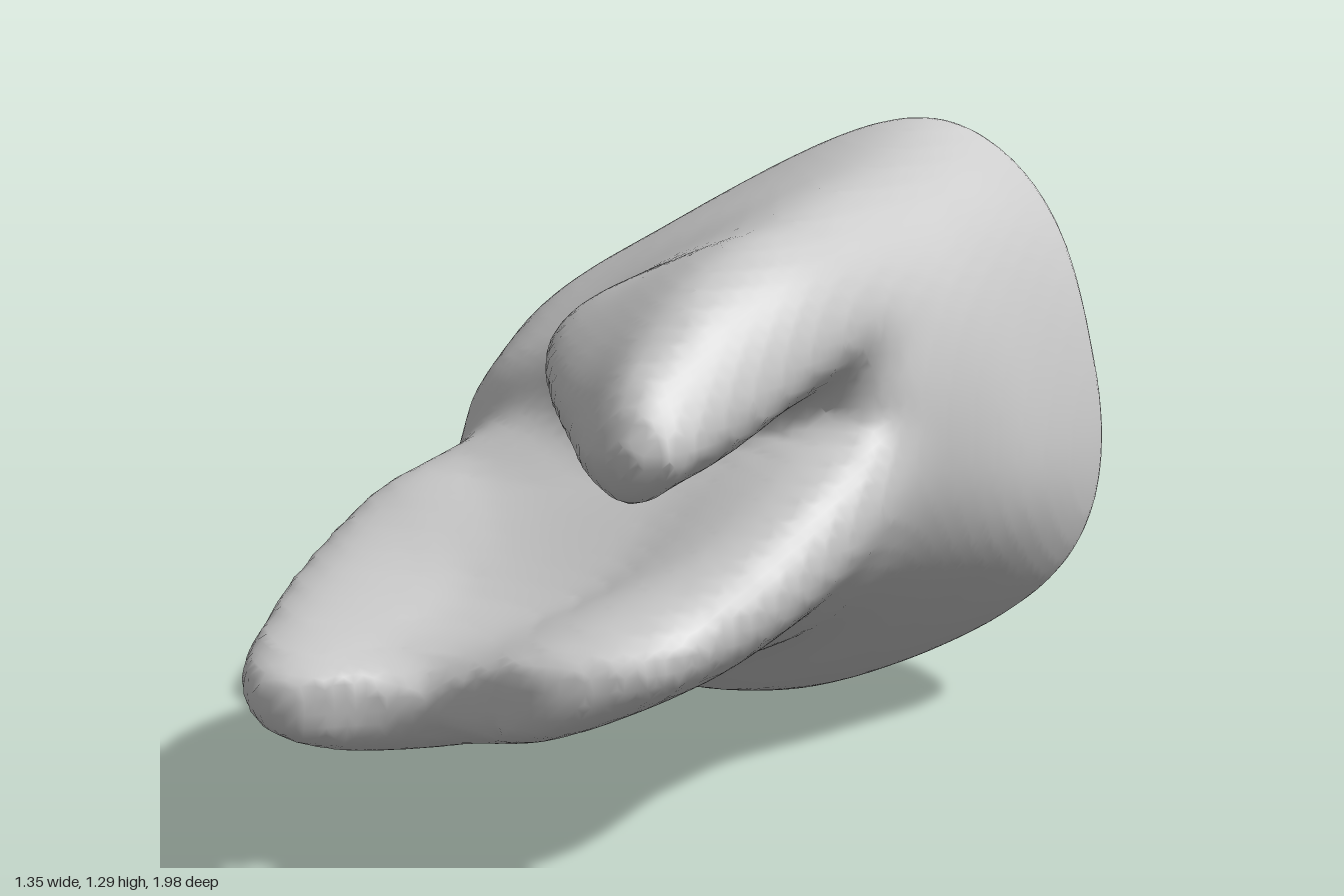
import * as THREE from 'three';

const N = 72; // angular samples per cross-section

// Smooth closed outline through [x, y, x, y, ...], stored as radii by angle around a centre
function section(z, cx, cy, xy) {
  const pts = [];
  for (let i = 0; i < xy.length; i += 2) pts.push(new THREE.Vector3(xy[i] - cx, xy[i + 1] - cy, 0));
  const loop = new THREE.CatmullRomCurve3(pts, true).getPoints(60);
  const R = Array.from({ length: N }, (_, k) => {
    const dx = Math.cos(k / N * 2 * Math.PI), dy = Math.sin(k / N * 2 * Math.PI);
    let best = 0.01;
    for (let i = 0; i < 60; i++) {
      const a = loop[i], ex = loop[i + 1].x - a.x, ey = loop[i + 1].y - a.y;
      const det = dx * ey - dy * ex;
      if (Math.abs(det) < 1e-9) continue;
      const t = (a.x * ey - a.y * ex) / det, u = (a.x * dy - a.y * dx) / det;
      if (u >= -1e-6 && u <= 1 + 1e-6 && t > best) best = t;
    }
    return best;
  });
  return { z, v: [cx, cy, ...R.map((r, k) => (R[(k + N - 1) % N] + 2 * r + R[(k + 1) % N]) / 4)] };
}

const scaled = (s, z, f) => ({ z, v: s.v.map((r, i) => (i < 2 ? r : r * f)) });

// Smooth interpolation of the sections along z
function slice(list, z) {
  const n = list.length;
  z = THREE.MathUtils.clamp(z, list[0].z, list[n - 1].z);
  let i = 0;
  while (i < n - 2 && z > list[i + 1].z) i++;
  const a = list[i], b = list[i + 1], p = list[Math.max(i - 1, 0)], q = list[Math.min(i + 2, n - 1)];
  const h = b.z - a.z, t = (z - a.z) / h, t2 = t * t, t3 = t2 * t;
  return a.v.map((va, k) => {
    const vb = b.v[k];
    const ma = (vb - p.v[k]) / (b.z - p.z) * h, mb = (q.v[k] - va) / (q.z - a.z) * h;
    return (2 * t3 - 3 * t2 + 1) * va + (t3 - 2 * t2 + t) * ma + (3 * t2 - 2 * t3) * vb + (t3 - t2) * mb;
  });
}

function radial(s, x, y) {
  const dx = x - s[0], dy = y - s[1];
  const a = ((Math.atan2(dy, dx) / (2 * Math.PI) + 1) % 1) * N, k = Math.floor(a) % N, f = a - Math.floor(a);
  return Math.hypot(dx, dy) - (s[2 + k] * (1 - f) + s[2 + (k + 1) % N] * f);
}

function smin(a, b, k) {
  const h = Math.max(k - Math.abs(a - b), 0) / k;
  return Math.min(a, b) - h * h * k / 4;
}
const smax = (a, b, k) => -smin(-a, -b, k);
const bump = (d2, w) => Math.exp(-d2 / (2 * w * w));

// Crown and neck
const crown = section(-0.58, 0.05, 0.62, [0.675, 0.55, 0.6, 1, 0.45, 1.22, 0.26, 1.3, -0.3, 1.04, -0.54, 0.85,
  -0.53, 0.45, -0.33, 0.14, -0.05, 0, 0.3, 0.1, 0.6, 0.32]);
const body = [
  scaled(crown, -1.05, 0.74), scaled(crown, -0.82, 0.92), crown,
  section(-0.25, 0.03, 0.62, [0.61, 0.55, 0.53, 1.04, 0.4, 1.2, 0.25, 1.235, -0.3, 1, -0.55, 0.82,
    -0.56, 0.42, -0.35, 0.14, 0, 0.07, 0.45, 0.32]),
  section(0, 0, 0.62, [0.53, 0.62, 0.48, 1.05, 0.27, 1.2, -0.27, 0.92, -0.55, 0.71, -0.61, 0.45,
    -0.4, 0.15, -0.05, 0.18, 0.35, 0.36]),
  section(0.27, 0.02, 0.62, [0.46, 0.7, 0.42, 1.03, 0.27, 1.16, -0.1, 0.92, -0.35, 0.66, -0.6, 0.57,
    -0.55, 0.25, -0.2, 0.22, 0.3, 0.4]),
];

// Broad, scooped lower root
const lowerStart = section(0.13, -0.1, 0.45, [0.47, 0.64, 0.42, 0.79, 0, 0.75, -0.4, 0.7, -0.61, 0.58,
  -0.65, 0.42, -0.4, 0.15, -0.1, 0.23, 0.32, 0.41]);
const lowerRoot = [
  scaled(lowerStart, -0.1, 0.88), lowerStart,
  section(0.32, -0.1, 0.45, [0.48, 0.62, 0.42, 0.76, 0.05, 0.67, -0.35, 0.61, -0.6, 0.6, -0.68, 0.43,
    -0.4, 0.13, -0.1, 0.23, 0.3, 0.4]),
  section(0.6, -0.1, 0.38, [0.39, 0.52, 0.28, 0.62, 0, 0.51, -0.35, 0.47, -0.6, 0.52, -0.67, 0.38,
    -0.4, 0.18, -0.1, 0.25, 0.25, 0.37]),
  section(0.8, -0.2, 0.35, [0.28, 0.45, 0.15, 0.52, -0.1, 0.45, -0.35, 0.42, -0.56, 0.45, -0.64, 0.36,
    -0.45, 0.23, -0.1, 0.26, 0.15, 0.34]),
  section(1.02, -0.22, 0.34, [0.2, 0.42, 0.08, 0.46, -0.15, 0.4, -0.55, 0.39, -0.6, 0.33, -0.4, 0.26, -0.1, 0.28]),
];
const lowerEnd = x => 0.88 + 0.12 * bump((x + 0.47) ** 2, 0.1) + 0.05 * bump((x - 0.03) ** 2, 0.08);

// Narrow, curved upper root
const upperStart = section(0.25, 0.15, 0.98, [0.44, 0.97, 0.4, 1.11, 0.27, 1.17, 0, 1.08, -0.22, 0.94,
  -0.13, 0.84, 0.25, 0.82]);
const upperRoot = [
  scaled(upperStart, -0.1, 0.95), upperStart,
  section(0.45, 0.15, 0.96, [0.41, 0.95, 0.37, 1.09, 0.25, 1.155, 0, 1.05, -0.17, 0.91, -0.08, 0.83, 0.25, 0.81]),
  section(0.65, 0.16, 0.9, [0.35, 0.88, 0.32, 1.01, 0.22, 1.085, 0.05, 1, -0.06, 0.88, 0.02, 0.8, 0.2, 0.76]),
  section(0.8, 0.18, 0.86, [0.3, 0.85, 0.25, 0.96, 0.18, 0.99, 0.09, 0.92, 0.05, 0.83, 0.17, 0.74]),
  section(0.92, 0.2, 0.83, [0.285, 0.83, 0.2, 0.92, 0.11, 0.83, 0.2, 0.75]),
];

// Cusps and the central pit on the chewing face: x, y, height, width
const cusps = [[0.33, 1.08, 0.18, 0.21], [-0.22, 0.72, 0.3, 0.25], [-0.02, 0.22, 0.25, 0.18],
  [0.53, 0.54, 0.18, 0.17], [0.14, 0.66, -0.14, 0.13]];
const chewingFace = (x, y) => cusps.reduce(
  (z, [cx, cy, h, w]) => z - h * bump((x - cx) ** 2 + (y - cy) ** 2, w), -0.68);

// Blended solid for one z level: negative inside
function solidAt(z) {
  const b = slice(body, z), l = slice(lowerRoot, z), u = slice(upperRoot, z);
  return (x, y) => {
    let neck = smax(radial(b, x, y), chewingFace(x, y) - z, 0.15);
    neck = smax(neck, z - 0.25 - 0.45 * Math.min(x + 0.05, 0), 0.12);
    const low = Math.max(smax(radial(l, x, y), z - lowerEnd(x), 0.12), -0.1 - z);
    const up = Math.max(smax(radial(u, x, y), z - 0.91, 0.1), -0.1 - z);
    return smin(smin(neck, low, 0.08), up, 0.07);
  };
}

// Skins the solid with one smooth vertex per crossed grid cell
function skin() {
  const step = 0.026, lo = [-0.85, -0.15, -1.15], dim = [66, 62, 89];
  const stride = [1, dim[0], dim[0] * dim[1]];
  const f = new Float32Array(dim[0] * dim[1] * dim[2]);
  for (let k = 0; k < dim[2]; k++) {
    const solid = solidAt(lo[2] + k * step);
    for (let j = 0; j < dim[1]; j++) for (let i = 0; i < dim[0]; i++)
      f[i + j * stride[1] + k * stride[2]] = solid(lo[0] + i * step, lo[1] + j * step);
  }
  const pos = [], index = [], vert = new Int32Array(f.length).fill(-1);
  const each = (from, fn) => {
    for (let k = from; k < dim[2] - 1; k++) for (let j = from; j < dim[1] - 1; j++)
      for (let i = from; i < dim[0] - 1; i++) fn([i, j, k], i + j * stride[1] + k * stride[2]);
  };
  each(0, (c, id) => {
    const sum = [0, 0, 0];
    let n = 0;
    for (let a = 0; a < 3; a++) for (let m = 0; m < 4; m++) {
      const b = (a + 1) % 3, d = (a + 2) % 3, ob = m & 1, od = m >> 1;
      const s = id + ob * stride[b] + od * stride[d], f0 = f[s], f1 = f[s + stride[a]];
      if ((f0 < 0) === (f1 < 0)) continue;
      sum[a] += f0 / (f0 - f1); sum[b] += ob; sum[d] += od; n++;
    }
    if (!n) return;
    vert[id] = pos.length / 3;
    for (let a = 0; a < 3; a++) pos.push(lo[a] + (c[a] + sum[a] / n) * step);
  });
  each(1, (c, id) => {
    for (let a = 0; a < 3; a++) {
      const inside = f[id] < 0;
      if (inside === (f[id + stride[a]] < 0)) continue;
      const b = stride[(a + 1) % 3], d = stride[(a + 2) % 3];
      const [p, q, r, s] = [vert[id - b - d], vert[id - d], vert[id], vert[id - b]];
      if (inside) index.push(p, q, r, p, r, s);
      else index.push(p, r, q, p, s, r);
    }
  });
  const g = new THREE.BufferGeometry();
  g.setAttribute('position', new THREE.Float32BufferAttribute(pos, 3));
  g.setIndex(index);
  g.computeVertexNormals();
  return g;
}

export function createModel() {
  const group = new THREE.Group();
  group.name = 'molar';
  const grey = new THREE.MeshStandardMaterial({ color: 0xcccccc });
  grey.name = 'light grey';
  const tooth = new THREE.Mesh(skin(), grey);
  tooth.name = 'tooth';
  group.add(tooth);
  return group;
}
